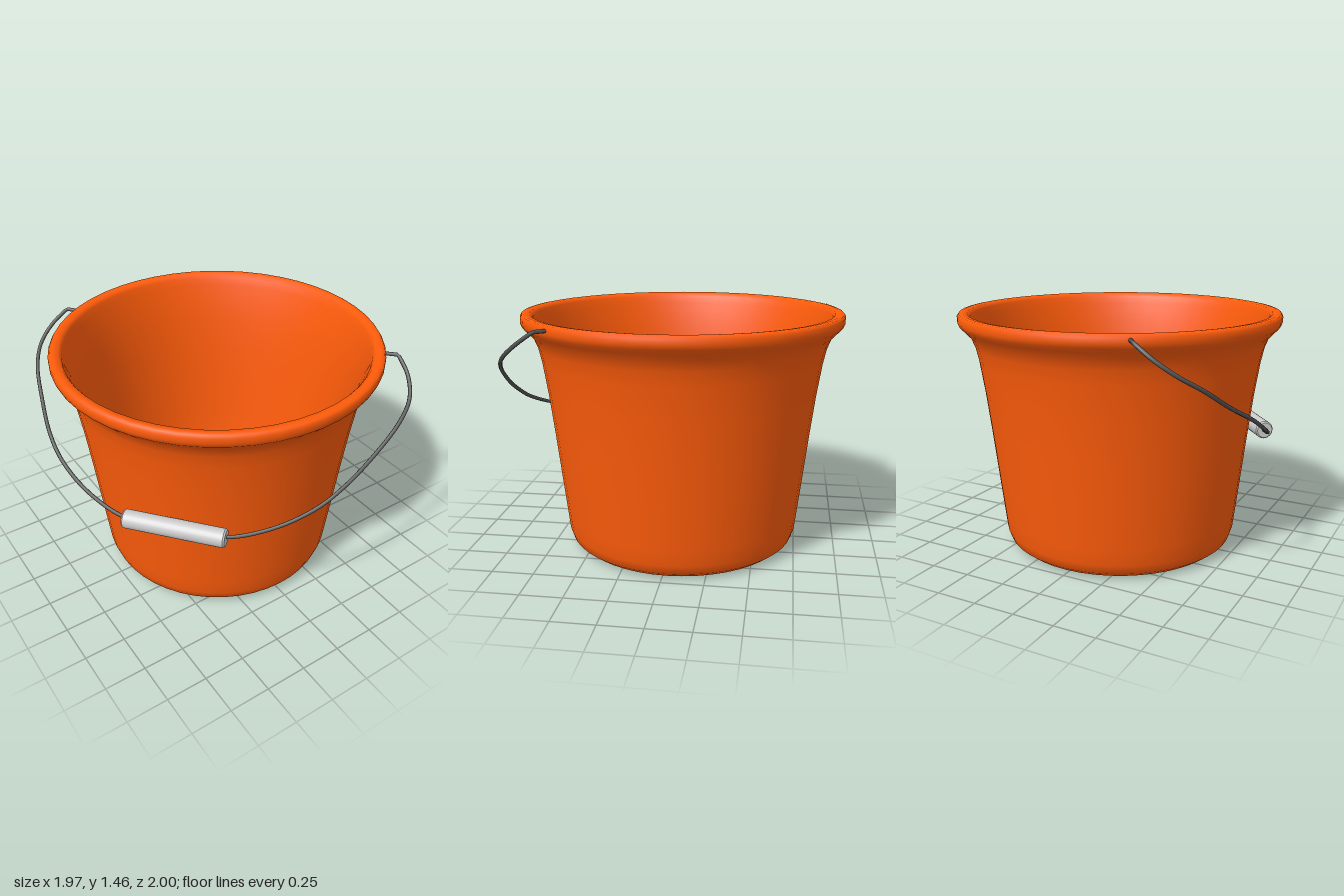
import * as THREE from 'three';

const v2 = (list) => list.map(([x, y]) => new THREE.Vector2(x, y));
const rad = THREE.MathUtils.degToRad;

export function createModel() {
  const model = new THREE.Group();
  const orange = new THREE.MeshStandardMaterial({ color: 0xff5c0a });
  const steel = new THREE.MeshStandardMaterial({ color: 0x555555 });
  const grey = new THREE.MeshStandardMaterial({ color: 0xcccccc });
  const plate = new THREE.MeshStandardMaterial({ color: 0xa8a8a8, side: THREE.DoubleSide });

  const add = (parent, name, geometry, material) => {
    const mesh = new THREE.Mesh(geometry, material);
    mesh.name = name;
    parent.add(mesh);
    return mesh;
  };

  // Bucket: base, flared outer wall, rolled rim, thin inner wall, softly rounded floor with a dimple
  const bucket = new THREE.Group();
  bucket.name = 'bucket';
  bucket.position.set(0.01, 0, -0.027);
  model.add(bucket);
  const profile = v2([
    [0, 0.004], [0.3, 0.002], [0.62, 0.005], [0.67, 0.012], [0.708, 0.042], [0.728, 0.1], [0.74, 0.2],
    [0.768, 0.45], [0.798, 0.72], [0.828, 0.97], [0.858, 1.17], [0.878, 1.26], [0.902, 1.32],
    [0.94, 1.36], [0.965, 1.385], [0.975, 1.41], [0.975, 1.44], [0.965, 1.456], [0.945, 1.46],
    [0.915, 1.455], [0.9, 1.435], [0.89, 1.39], [0.868, 1.32], [0.835, 1.17], [0.805, 0.97],
    [0.775, 0.72], [0.744, 0.45], [0.715, 0.23], [0.69, 0.145], [0.62, 0.075], [0.5, 0.042],
    [0.3, 0.027], [0.085, 0.022], [0.075, 0.01], [0, 0.01],
  ]);
  add(bucket, 'shell', new THREE.LatheGeometry(profile, 48), orange);

  // Curved plate in the rounded corner between inner wall and floor
  add(bucket, 'innerPlate',
    new THREE.LatheGeometry(v2([[0.615, 0.08], [0.685, 0.15]]), 8, rad(-58.5), rad(35.5)), plate);

  // Bail: one half of the wire, mirrored across the plane through the bucket axis
  const axis = new THREE.Vector3(0.643, 0, 0.766);
  const mirror = (p) => p.clone().addScaledVector(axis, -2 * (p.dot(axis) + 0.014));
  const half = [
    [0.795, 1.43, 0.663], [0.777, 1.355, 0.77], [0.71, 1.275, 0.867], [0.585, 1.195, 0.93],
    [0.375, 1.07, 0.967], [0.165, 0.965, 0.985], [0, 0.88, 0.967], [-0.205, 0.793, 0.895],
    [-0.41, 0.731, 0.775], [-0.5, 0.722, 0.693],
  ].map((p) => new THREE.Vector3(...p));
  const hook = new THREE.Vector3(0.72, 1.43, 0.583);
  const path = new THREE.CurvePath();
  path.add(new THREE.LineCurve3(hook, half[0]));
  path.add(new THREE.CatmullRomCurve3([...half, ...half.map(mirror).reverse()]));
  path.add(new THREE.LineCurve3(mirror(half[0]), mirror(hook)));
  const handle = new THREE.Group();
  handle.name = 'handle';
  model.add(handle);
  add(handle, 'wire', new THREE.TubeGeometry(path, 200, 0.0115, 8), steel);

  // Grip: cylinder with narrowly chamfered ends
  const grip = new THREE.Group();
  grip.name = 'grip';
  grip.position.set(-0.642, 0.722, 0.524);
  grip.quaternion.setFromUnitVectors(new THREE.Vector3(0, 1, 0), axis.clone().normalize());
  handle.add(grip);
  add(grip, 'gripBody', new THREE.CylinderGeometry(0.055, 0.055, 0.58, 24, 1, true), grey);
  for (const s of [1, -1]) {
    const end = add(grip, 'gripEnd', new THREE.CylinderGeometry(0.047, 0.055, 0.01, 24), grey);
    end.position.y = s * 0.295;
    if (s < 0) end.rotation.x = Math.PI;
  }
  return model;
}
